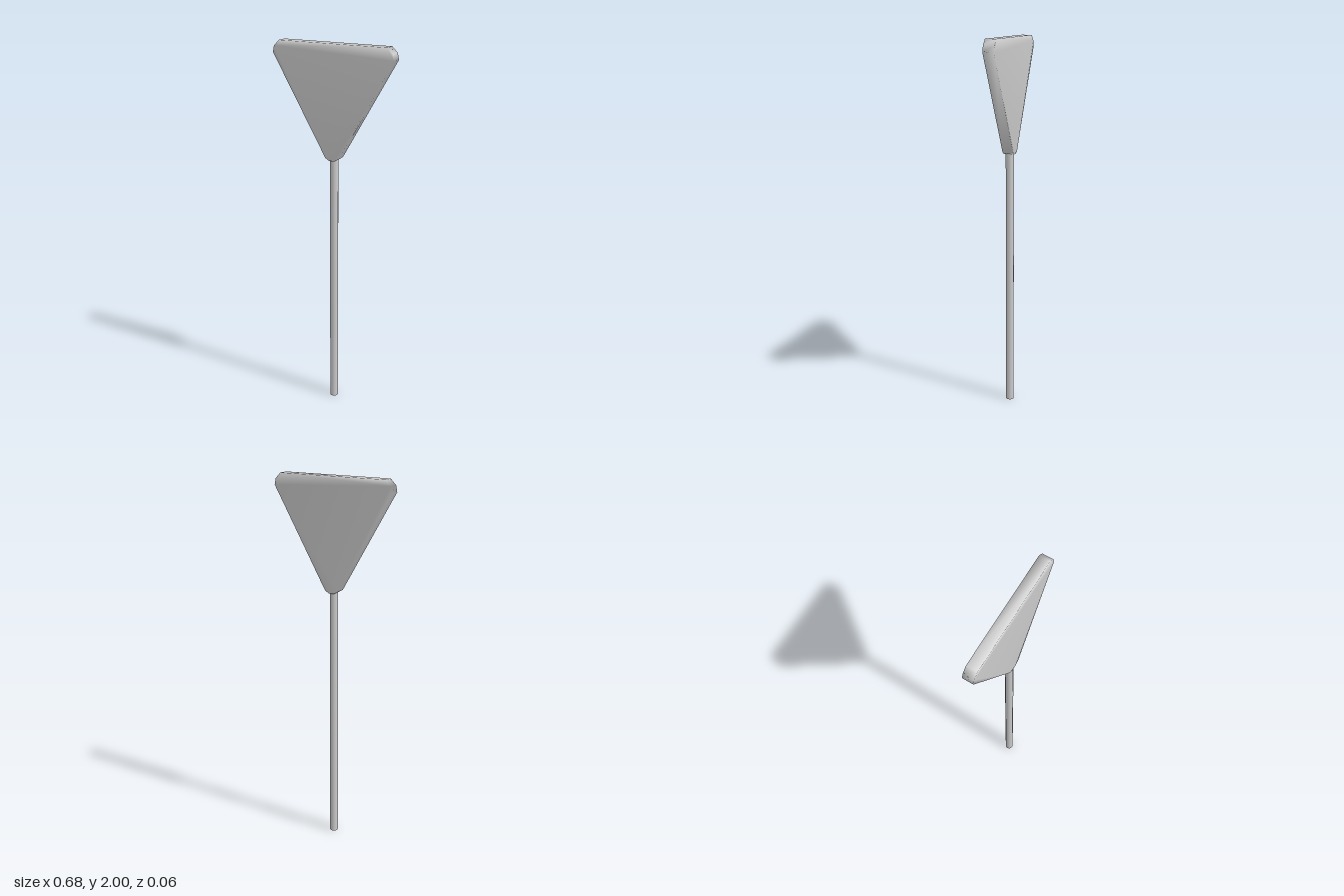
import * as THREE from 'three';
import { mergeVertices } from 'three/addons/utils/BufferGeometryUtils.js';

const material = new THREE.MeshStandardMaterial({ color: 0xcccccc });

// Shares vertices across every edge so the shading runs smoothly over the rim
function smooth(geometry) {
  geometry.deleteAttribute('normal');
  geometry.deleteAttribute('uv');
  const merged = mergeVertices(geometry, 1e-4);
  merged.computeVertexNormals();
  return merged;
}

function addPart(group, name, geometry) {
  const mesh = new THREE.Mesh(geometry, material);
  mesh.name = name;
  group.add(mesh);
  return mesh;
}

export function createModel() {
  const group = new THREE.Group();
  group.name = 'roadSign';

  // Downward triangular plate with clipped, rounded corners
  const half = [
    [0.015, 1.4], [0.037, 1.413], [0.339, 1.937], [0.332, 1.97], [0.302, 2],
  ];
  const outline = [
    ...half,
    ...half.map(([x, y]) => [-x, y]).reverse(),
  ].map(([x, y]) => new THREE.Vector2(x, y));
  const depth = 0.057;
  const plate = new THREE.ExtrudeGeometry(new THREE.Shape(outline), {
    depth, bevelEnabled: false,
  });
  plate.translate(0, 0, -depth / 2);
  addPart(group, 'signPlate', smooth(plate));

  // Slim round pole, its top set just inside the plate
  const height = 1.41;
  const pole = new THREE.CylinderGeometry(0.022, 0.022, height, 12);
  pole.translate(0, height / 2, 0);
  addPart(group, 'pole', pole);

  return group;
}
